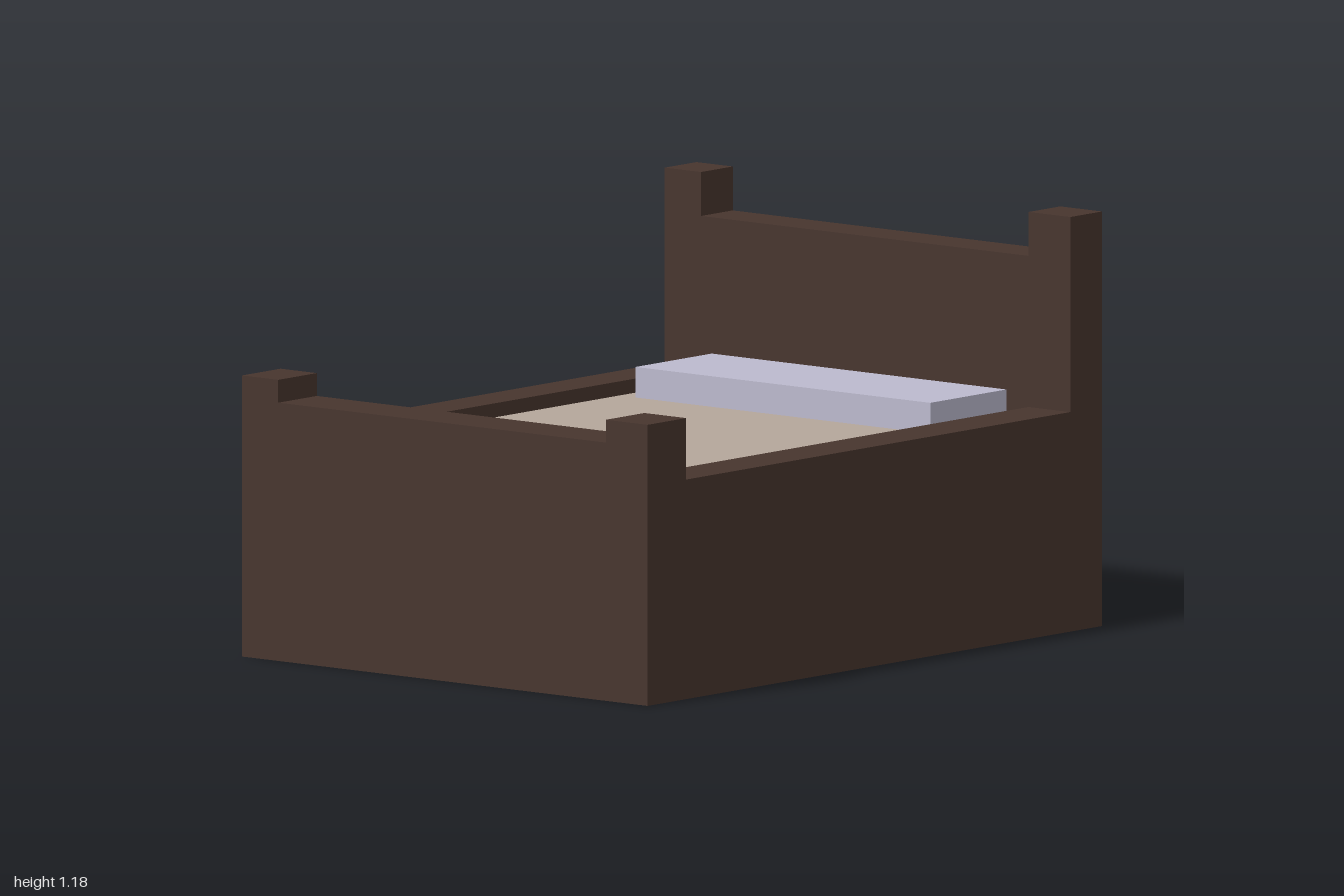
import * as THREE from 'three';

const mat = (name, color) => {
  const m = new THREE.MeshStandardMaterial({ color });
  m.name = name;
  return m;
};

export function createModel() {
  const group = new THREE.Group();
  group.name = 'bed';
  const wood = mat('dark wood', 0x47352e);
  const linen = mat('beige linen', 0xb4a69b);
  const cotton = mat('pale lilac cotton', 0xbcbace);

  // Box spanning the given [min, max] ranges
  const block = (name, material, [x0, x1], [y0, y1], [z0, z1]) => {
    const mesh = new THREE.Mesh(new THREE.BoxGeometry(x1 - x0, y1 - y0, z1 - z0), material);
    mesh.position.set((x0 + x1) / 2, (y0 + y1) / 2, (z0 + z1) / 2);
    mesh.name = name;
    group.add(mesh);
  };

  const inner = [-0.61, 0.59];
  const sides = [['right', [-0.743, -0.61]], ['left', [0.59, 0.743]]];
  const headZ = [-1, -0.86], footZ = [0.83, 1], midZ = [-0.86, 0.83];

  // Corner posts and side rails
  for (const [side, x] of sides) {
    block(side + 'HeadPost', wood, x, [0, 1.18], headZ);
    block(side + 'FootPost', wood, x, [0, 0.8], footZ);
    block(side + 'Rail', wood, x, [0, 0.625], midZ);
  }

  // End panels and the closed base
  block('headboard', wood, inner, [0, 1.055], headZ);
  block('footboard', wood, inner, [0, 0.735], footZ);
  block('base', wood, inner, [0, 0.3], midZ);

  // Bedding
  block('mattress', linen, inner, [0.3, 0.585], midZ);
  block('pillow', cotton, [-0.55, 0.53], [0.585, 0.672], [-0.835, -0.5]);

  return group;
}
